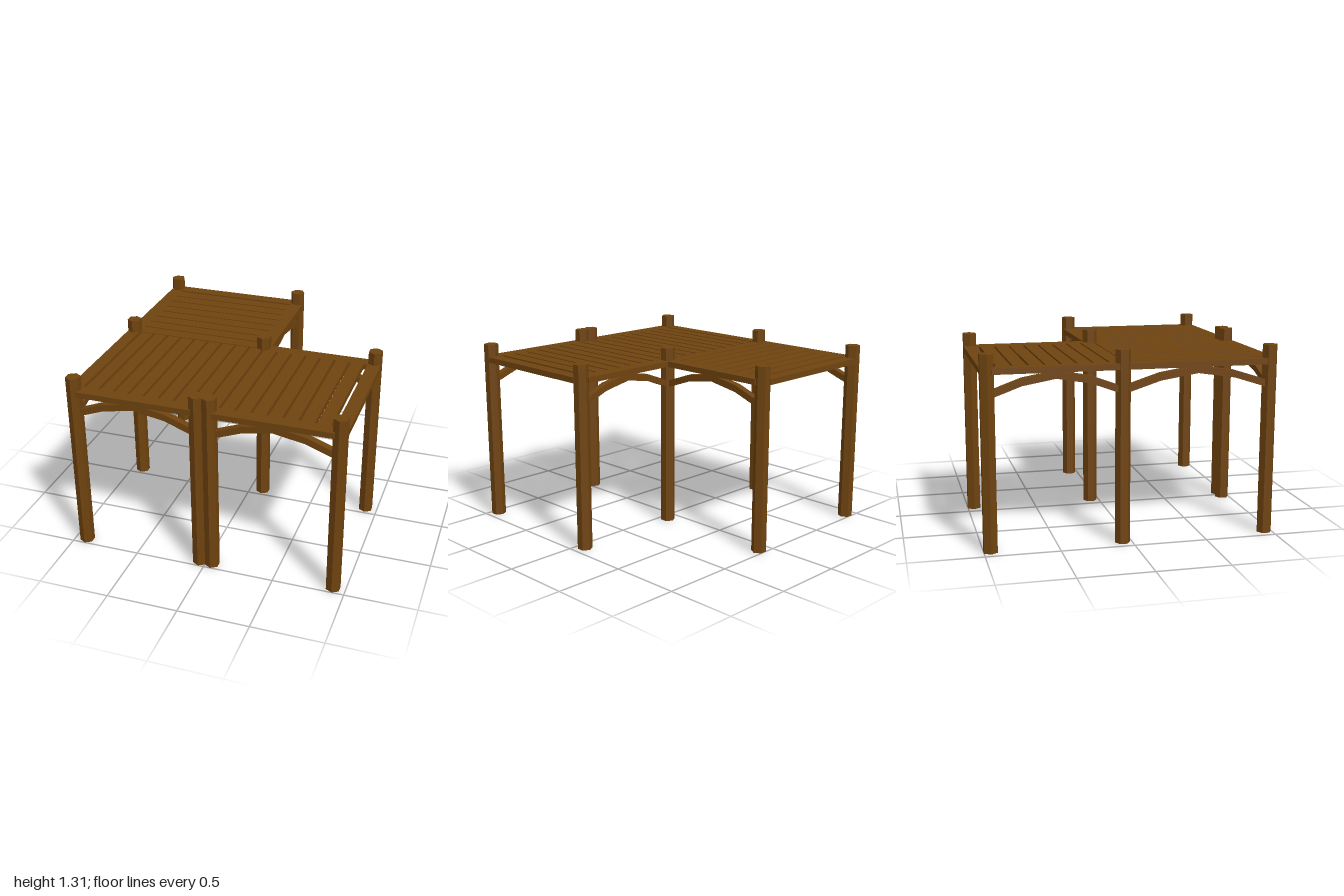
import * as THREE from 'three';

const wood = new THREE.MeshStandardMaterial({ color: 0x6f430f, flatShading: true });
wood.name = 'brown wood';

const POST_HEIGHT = 1.31, POST_RADIUS = 0.052;
const DECK_Y = 1.2, DECK_THICK = 0.04, PLANK = 0.092;

export function createModel() {
  const model = new THREE.Group();
  model.name = 'pergola';

  const add = (name, geometry, x, y, z, turn = 0) => {
    const mesh = new THREE.Mesh(geometry, wood);
    mesh.name = name;
    mesh.position.set(x, y, z);
    mesh.rotation.y = turn;
    model.add(mesh);
  };

  // Six-sided posts; the two at the back are turned by 30 degrees
  const P = {
    frontRight: [-0.912, 0.948],
    frontMidRight: [-0.042, 0.948],
    frontMidLeft: [0.048, 0.948],
    frontLeft: [0.915, 0.948],
    midRight: [-0.912, -0.065],
    inner: [0.1, -0.065],
    midLeft: [0.915, -0.065],
    backRight: [-0.912, -0.955],
    backInner: [0.1, -0.955],
  };
  for (const [name, [x, z]] of Object.entries(P)) {
    const geometry = new THREE.CylinderGeometry(POST_RADIUS, POST_RADIUS, POST_HEIGHT, 6);
    add(name + 'Post', geometry, x, POST_HEIGHT / 2, z, name.startsWith('back') ? Math.PI / 6 : 0);
  }

  // Direction and length between two posts
  const span = ([ax, az], [bx, bz]) => ({
    length: Math.hypot(bx - ax, bz - az),
    turn: Math.atan2(az - bz, bx - ax),
  });

  // Flat rail between two posts, ending inside them
  const rail = (name, a, b) => {
    const { length, turn } = span(a, b);
    const geometry = new THREE.BoxGeometry(length - 0.06, DECK_THICK, PLANK);
    add(name, geometry, (a[0] + b[0]) / 2, DECK_Y, (a[1] + b[1]) / 2, turn);
  };

  // Shallow brace arch of four straight pieces
  const arch = (name, a, b) => {
    const { length, turn } = span(a, b);
    const top = [1.064, 1.145, 1.184, 1.145, 1.064];
    const upper = top.map((y, i) => new THREE.Vector2((length * i) / 4, y));
    const lower = upper.map((p) => new THREE.Vector2(p.x, p.y - 0.048)).reverse();
    const shape = new THREE.Shape([...lower.reverse(), ...upper.reverse()]);
    const geometry = new THREE.ExtrudeGeometry(shape, { depth: 0.05, bevelEnabled: false });
    geometry.translate(0, 0, -0.025);
    add(name, geometry, a[0], 0, a[1], turn);
  };

  // Sides that have both a rail and an arch
  const bracedSides = [
    ['frontRightBay', P.frontRight, P.frontMidRight],
    ['frontLeftBay', P.frontMidLeft, P.frontLeft],
    ['rightFrontBay', P.frontRight, P.midRight],
    ['rightBackBay', P.midRight, P.backRight],
    ['innerLeftBay', P.inner, P.midLeft],
    ['innerBackBay', P.inner, P.backInner],
  ];
  for (const [name, a, b] of bracedSides) {
    rail(name + 'Rail', a, b);
    arch(name + 'Arch', a, b);
  }

  // Sides with a rail only
  rail('leftRail', P.frontLeft, P.midLeft);
  rail('backRail', P.backRight, P.backInner);

  // Front roof slats, running front to back
  for (let i = 0; i < 16; i++) {
    const x = -0.802 + i * 0.1065;
    const z0 = x > 0.1 ? -0.019 : -0.04;
    add('frontSlat', new THREE.BoxGeometry(0.089, DECK_THICK, 0.902 - z0), x, DECK_Y, (0.902 + z0) / 2);
  }

  // Back roof slats, running side to side
  for (let i = 0; i < 8; i++) {
    add('backSlat', new THREE.BoxGeometry(0.92, DECK_THICK, 0.093), -0.406, DECK_Y, -0.84 + i * 0.1063);
  }

  return model;
}
